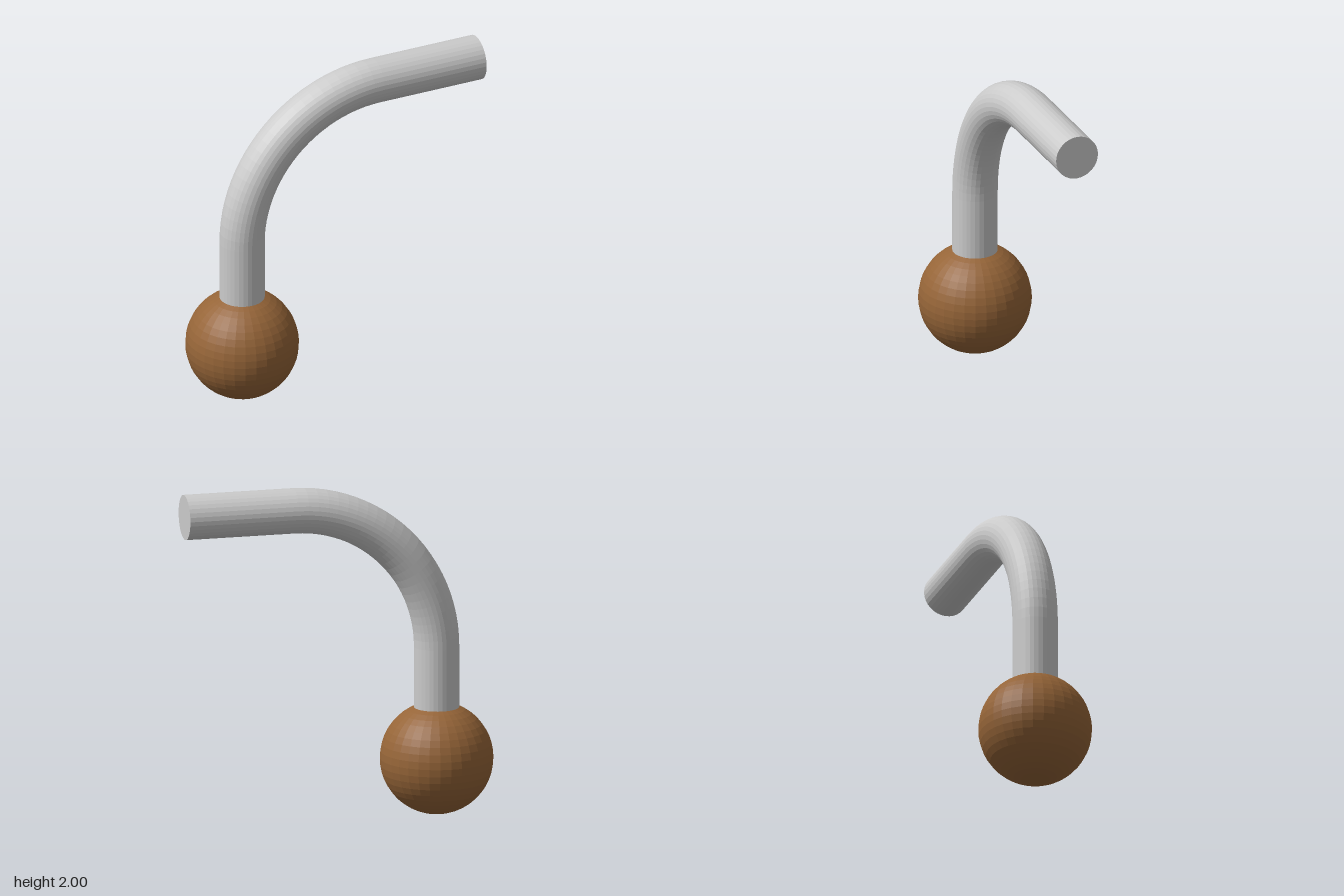
import * as THREE from 'three';

export function createModel() {
  const group = new THREE.Group();
  const grey = new THREE.MeshStandardMaterial({ color: 0xcccccc, flatShading: true });
  const brown = new THREE.MeshStandardMaterial({ color: 0x966538, flatShading: true });

  const R = 0.333;            // ball radius
  const r = 0.133;            // rod radius
  const footX = -0.597, endX = 0.93;
  const topY = 2 - r;         // axis height of the horizontal arm
  const bend = 0.865;         // bend radius along the rod axis
  const bendX = footX + bend, bendY = topY - bend;
  const sides = 32;

  function add(name, geometry, material, x, y) {
    const mesh = new THREE.Mesh(geometry, material);
    mesh.name = name;
    mesh.position.set(x, y, 0);
    group.add(mesh);
    return mesh;
  }

  // Ball at the foot
  add('ball', new THREE.SphereGeometry(R, 32, 24), brown, footX, R);

  // Upright rod, rooted inside the ball
  const upright = bendY - R;
  add('uprightRod', new THREE.CylinderGeometry(r, r, upright, sides, 1, true), grey, footX, R + upright / 2);

  // Quarter bend
  const elbow = new THREE.TorusGeometry(bend, r, sides, 24, Math.PI / 2);
  add('rodBend', elbow.rotateZ(Math.PI / 2), grey, bendX, bendY);

  // Horizontal arm, with its flat end cap
  const reach = endX - bendX;
  const arm = new THREE.CylinderGeometry(r, r, reach, sides).rotateZ(-Math.PI / 2);
  add('horizontalRod', arm, grey, bendX + reach / 2, topY);

  return group;
}
